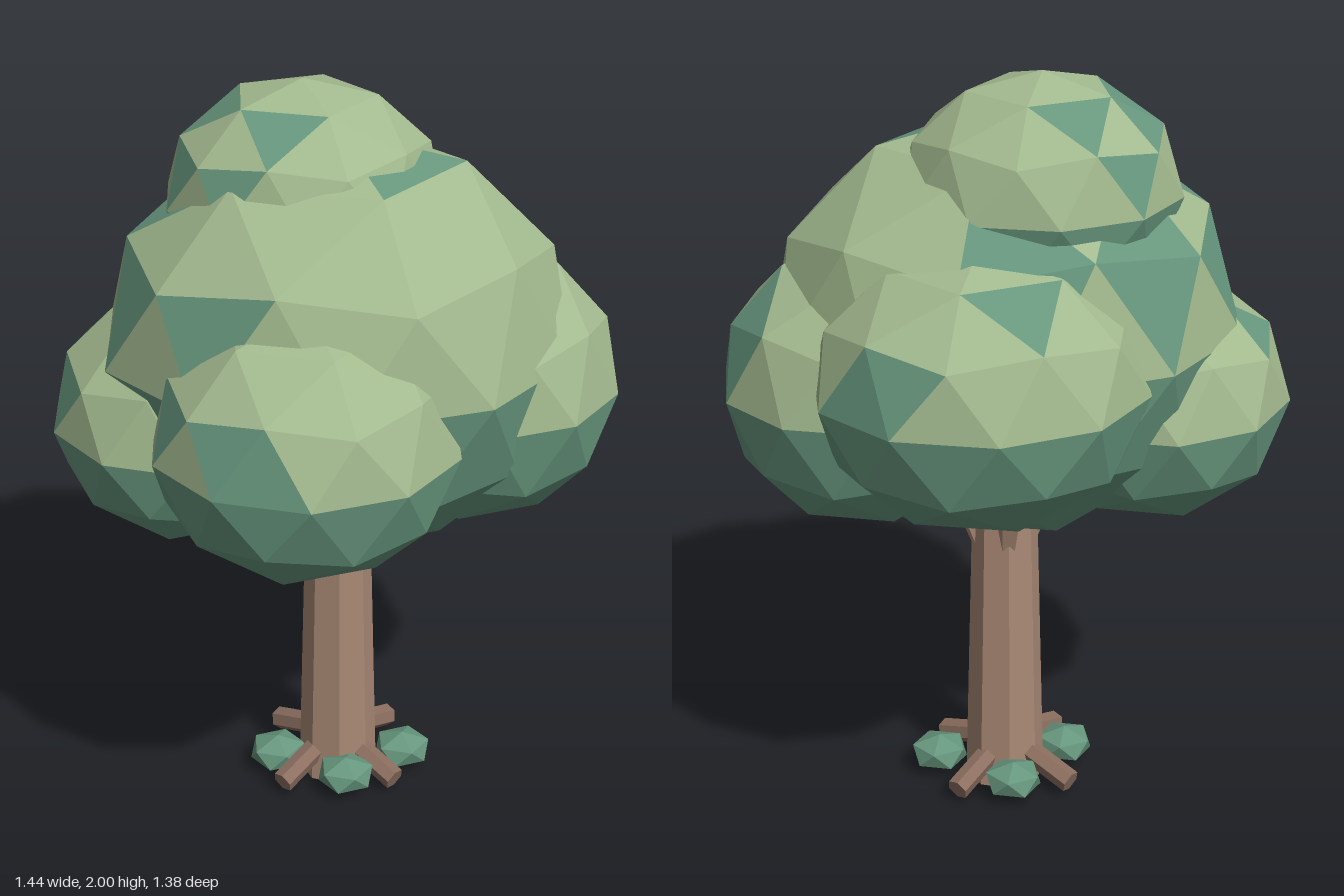
import * as THREE from 'three';

const mat = (name, color) => {
  const m = new THREE.MeshStandardMaterial({ color, flatShading: true });
  m.name = name;
  return m;
};

export function createModel() {
  const tree = new THREE.Group();
  tree.name = 'tree';
  const lightLeaf = mat('light leaf', 0xa3ba8f);
  const darkLeaf = mat('dark leaf', 0x67977e);
  const bark = mat('bark', 0xa98975);
  const rootBark = mat('root bark', 0x8c6f60);

  const add = (name, geometry, material) => {
    const mesh = new THREE.Mesh(geometry, material);
    mesh.name = name;
    tree.add(mesh);
    return mesh;
  };

  // Tapered limb between two points
  const limb = (name, from, to, rFrom, rTo, sides, material) => {
    const a = new THREE.Vector3(...from), b = new THREE.Vector3(...to);
    const dir = b.clone().sub(a);
    const mesh = add(name, new THREE.CylinderGeometry(rTo, rFrom, dir.length(), sides), material);
    mesh.position.copy(a).add(b).multiplyScalar(0.5);
    mesh.quaternion.setFromUnitVectors(new THREE.Vector3(0, 1, 0), dir.normalize());
  };

  // Faceted ball with a corner at the top and a level equator
  const ball = (detail) =>
    new THREE.IcosahedronGeometry(1, detail).rotateZ(-Math.atan(2 / (1 + Math.sqrt(5))));

  // Leaf cluster: light above the equator, dark below, with dark patches by direction
  const cluster = (name, center, radii, patches) => {
    const g = ball(1);
    const dirs = patches.map((p) => new THREE.Vector3(...p).normalize());
    const p = g.attributes.position, c = new THREE.Vector3(), v = new THREE.Vector3();
    g.clearGroups();
    for (let i = 0; i < p.count; i += 3) {
      c.set(0, 0, 0);
      for (let k = 0; k < 3; k++) c.add(v.fromBufferAttribute(p, i + k));
      c.normalize();
      const dark = c.y < 0.02 || dirs.some((d) => d.dot(c) > 0.965);
      g.addGroup(i, 3, dark ? 1 : 0);
    }
    g.scale(...radii).translate(...center);
    add(name, g, [lightLeaf, darkLeaf]);
  };

  cluster('mainCrown', [0, 1.33, 0], [0.61, 0.56, 0.51], [
    [-0.84, 0.32, 0.28], [-0.52, 0.32, 0.71], [-0.7, 0.65, 0], [-0.6, 0.5, -0.6],
    [-0.84, 0.32, -0.28], [-0.25, 0.55, -0.8], [0.15, 0.45, -0.88], [0.23, 0.9, 0.17],
  ]);
  cluster('topCrown', [-0.08, 1.7, -0.07], [0.355, 0.3, 0.325], [
    [-0.65, 0.65, -0.15], [-0.18, 0.74, -0.54], [-0.84, 0.32, 0.28], [-0.18, 0.74, 0.54],
    [-0.52, 0.32, 0.71], [-0.52, 0.32, -0.71],
  ]);
  cluster('frontCrown', [-0.09, 1.21, 0.32], [0.39, 0.35, 0.365], [
    [-0.52, 0.32, 0.71], [-0.28, 0.18, 0.87], [-0.84, 0.32, 0.28],
  ]);
  cluster('leftCrown', [0.37, 1.2, -0.03], [0.365, 0.375, 0.355], [
    [0.84, 0.32, -0.27], [0.93, 0.15, 0], [0.7, 0.61, -0.17],
  ]);
  cluster('rightCrown', [-0.38, 1.13, -0.02], [0.36, 0.33, 0.365], [
    [-0.84, 0.32, 0.28], [-0.67, 0.61, -0.28],
  ]);
  cluster('backCrown', [0.1, 1.29, -0.32], [0.42, 0.36, 0.37], [
    [-0.18, 0.74, -0.54], [0.74, 0.18, -0.65], [0.5, 0.35, -0.75],
  ]);

  // Trunk and the branches that flare into the crown
  limb('trunk', [0.005, 0, -0.02], [0.005, 1.0, -0.02], 0.108, 0.082, 8, bark);
  for (let i = 0; i < 4; i++) {
    const a = (i * Math.PI) / 2, x = Math.cos(a), z = Math.sin(a);
    limb('branch', [0.005 + x * 0.055, 0.69, -0.015 + z * 0.055],
      [0.005 + x * 0.14, 0.96, -0.015 + z * 0.13], 0.025, 0.045, 5, bark);
  }

  // Roots on the diagonals
  for (let i = 0; i < 4; i++) {
    const a = Math.PI / 4 + (i * Math.PI) / 2, x = Math.cos(a), z = Math.sin(a);
    limb('root', [x * 0.06, 0.095, -0.025 + z * 0.06],
      [x * 0.22, 0.044, -0.025 + z * 0.22], 0.032, 0.032, 6, rootBark);
  }

  // Low shrubs between the roots
  for (const [x, z] of [[0.02, 0.115], [0.185, 0], [0, -0.165], [-0.165, 0]]) {
    add('shrub', ball(0).scale(0.084, 0.05, 0.08).translate(x, 0.06, z), darkLeaf);
  }
  return tree;
}
